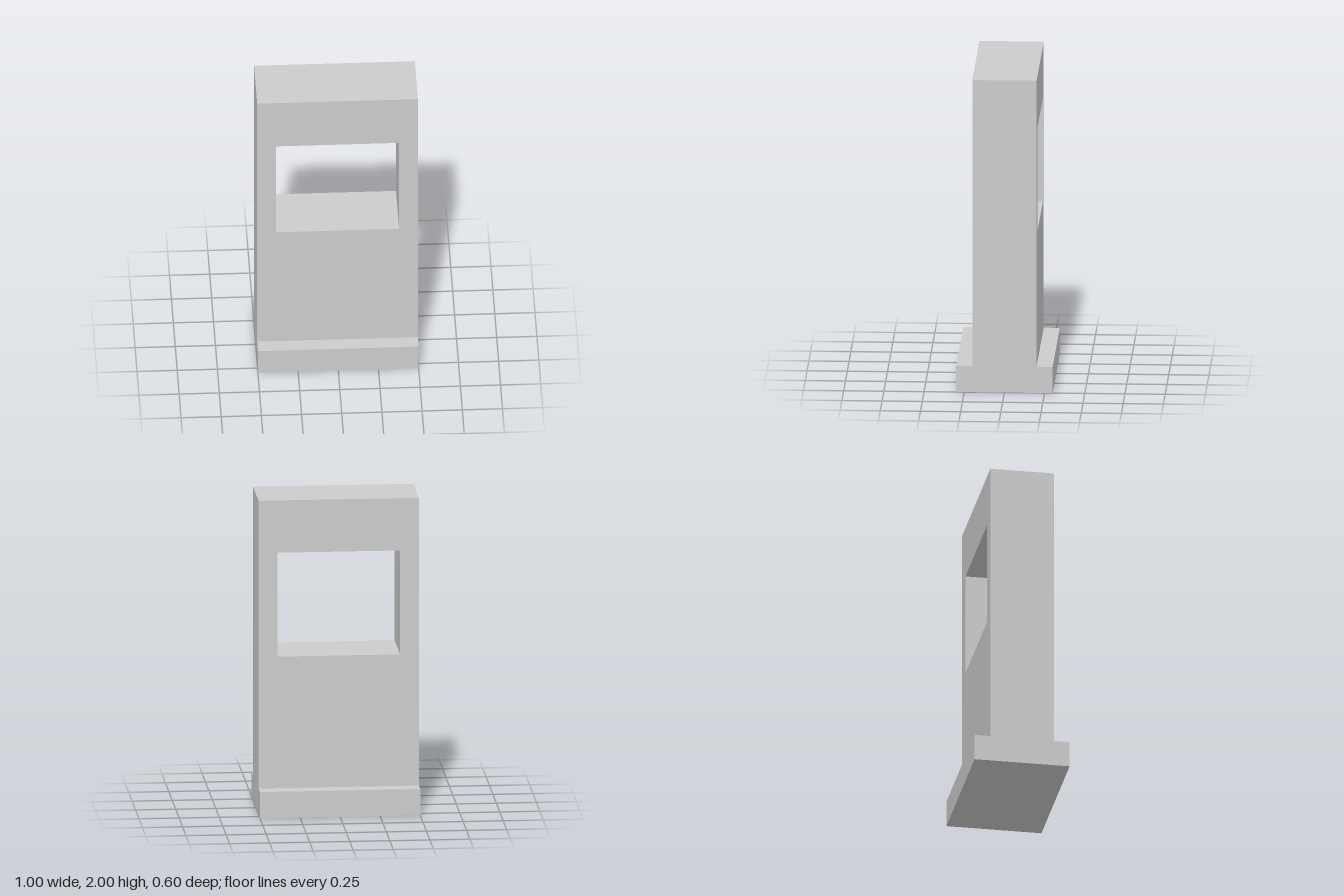
import * as THREE from 'three';

const WIDTH = 1, HEIGHT = 2;
const BASE_HEIGHT = 0.167, BASE_DEPTH = 0.6, WALL_DEPTH = 0.4;
const OPENING = { halfWidth: 0.383, bottom: 1.005, top: 1.667 };

// Closed rectangular outline, usable as a shape or a hole
function rectangle(path, x0, y0, x1, y1) {
  path.moveTo(x0, y0);
  path.lineTo(x1, y0);
  path.lineTo(x1, y1);
  path.lineTo(x0, y1);
  path.closePath();
  return path;
}

export function createModel() {
  const model = new THREE.Group();
  model.name = 'windowedSlab';
  const material = new THREE.MeshStandardMaterial({ color: 0xcccccc, flatShading: true });

  // Plinth, flush with the wall at the sides and stepped out front and back
  const base = new THREE.Mesh(new THREE.BoxGeometry(WIDTH, BASE_HEIGHT, BASE_DEPTH), material);
  base.name = 'base';
  base.position.y = BASE_HEIGHT / 2;
  model.add(base);

  // Upright wall with a rectangular opening right through it
  const outline = rectangle(new THREE.Shape(), -WIDTH / 2, BASE_HEIGHT, WIDTH / 2, HEIGHT);
  outline.holes.push(
    rectangle(new THREE.Path(), -OPENING.halfWidth, OPENING.bottom, OPENING.halfWidth, OPENING.top)
  );
  const wall = new THREE.Mesh(
    new THREE.ExtrudeGeometry(outline, { depth: WALL_DEPTH, bevelEnabled: false }),
    material
  );
  wall.name = 'wall';
  wall.position.z = -WALL_DEPTH / 2;
  model.add(wall);

  return model;
}
